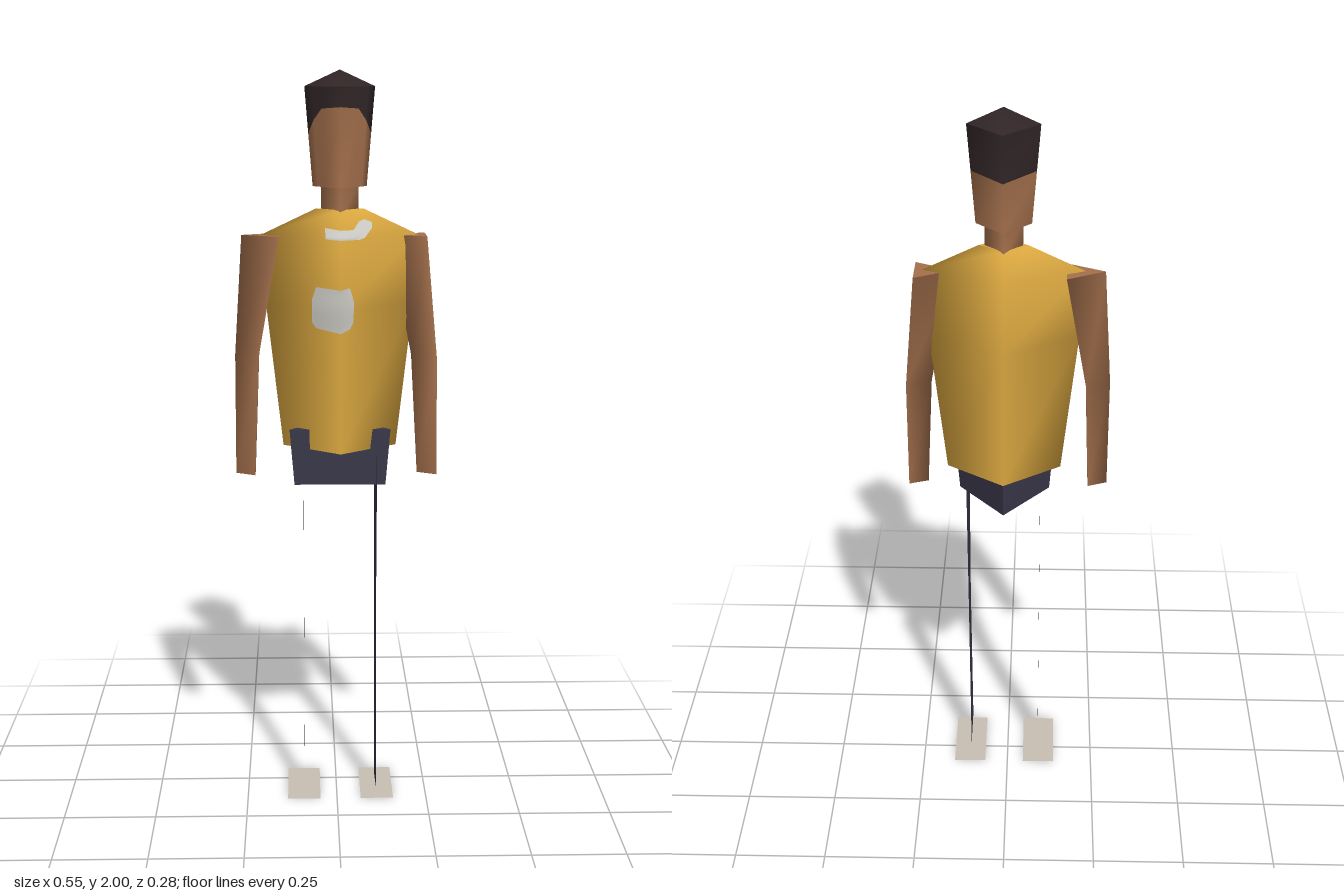
import * as THREE from 'three';

const CX = 0.01, CZ = -0.012; // body axis
const mat = (name, color) => {
  const m = new THREE.MeshStandardMaterial({ color, side: THREE.DoubleSide });
  m.name = name;
  return m;
};
const lerp = THREE.MathUtils.lerp;

function geo(pos, idx) {
  const g = new THREE.BufferGeometry();
  g.setAttribute('position', new THREE.Float32BufferAttribute(pos.flat(), 3));
  g.setIndex(idx);
  g.computeVertexNormals();
  return g;
}

// Smooth walls through rings (bottom to top, counterclockwise from above), with separate end caps
function loft(rings, { bottom = true, top = true, rise = 0 } = {}) {
  const n = rings[0].length, pos = rings.flat(), idx = [];
  for (let r = 0; r < rings.length - 1; r++) {
    for (let i = 0; i < n; i++) {
      const a = r * n + i, b = r * n + (i + 1) % n;
      idx.push(a, b, b + n, a, b + n, a + n);
    }
  }
  const cap = (ring, up) => {
    const s = pos.length;
    const c = [0, 1, 2].map((k) => ring.reduce((t, p) => t + p[k], 0) / n);
    if (up) c[1] += rise;
    pos.push(...ring, c);
    for (let i = 0; i < n; i++) {
      const j = (i + 1) % n;
      idx.push(s + n, s + (up ? i : j), s + (up ? j : i));
    }
  };
  if (bottom) cap(rings[0], false);
  if (top) cap(rings[rings.length - 1], true);
  return geo(pos, idx);
}

// Four-cornered ring: half width, front z, back z
const diamond = (y, hx, zf, zb) => [[CX, y, zf], [CX + hx, y, CZ], [CX, y, zb], [CX - hx, y, CZ]];

const TORSO = [[0.985, 0.155, 0.11, -0.125], [1.38, 0.2, 0.115, -0.14],
  [1.565, 0.213, 0.095, -0.11], [1.635, 0.065, 0.035, -0.055]];

// Depth of the torso front at a given x and y
function chestZ(x, y) {
  let k = 0;
  while (k < TORSO.length - 2 && y > TORSO[k + 1][0]) k++;
  const a = TORSO[k], b = TORSO[k + 1], t = (y - a[0]) / (b[0] - a[0]);
  const hx = lerp(a[1], b[1], t), zf = lerp(a[2], b[2], t);
  return lerp(zf, CZ, Math.abs(x - CX) / hx);
}

// Thin patch hugging the chest, from columns of [x, low y, high y]
function chestPatch(cols) {
  const rows = 6, pos = [], idx = [];
  cols.forEach(([x, lo, hi], c) => {
    for (let r = 0; r <= rows; r++) {
      const y = lerp(lo, hi, r / rows);
      pos.push([x, y, chestZ(x, y) + 0.005]);
      if (c && r) {
        const q = c * (rows + 1) + r, p = q - rows - 1;
        idx.push(p - 1, q - 1, q, p - 1, q, p);
      }
    }
  });
  return geo(pos, idx);
}

// Point on the head: corner-to-corner position u in 0..4, starting at the front
function headPoint(u, y) {
  const t = (y - 1.695) / 0.26;
  const d = diamond(y, lerp(0.0725, 0.0935, t), lerp(0.08, 0.084, t), lerp(-0.09, -0.107, t));
  const i = Math.floor(u) % 4, f = u - Math.floor(u);
  return d[i].map((v, k) => lerp(v, d[(i + 1) % 4][k], f));
}

export function createModel() {
  const root = new THREE.Group();
  const skin = mat('skin', 0xa5714d), hair = mat('hair', 0x322627), shirt = mat('shirt', 0xdba840);
  const trousers = mat('trousers', 0x3a384a), print = mat('print', 0xc8c6c0), shoe = mat('shoe', 0xc9c0b3);
  const add = (name, g, m) => {
    const mesh = new THREE.Mesh(g, m);
    mesh.name = name;
    root.add(mesh);
    return mesh;
  };

  // Head: face below the hairline, hair above it with a low peaked crown
  const hairline = [[0, 1.905], [0.55, 1.9], [0.8, 1.87], [1, 1.835], [2, 1.83],
    [3, 1.835], [3.2, 1.87], [3.45, 1.9]];
  const ringAt = (y) => hairline.map(([u, h]) => headPoint(u, y ?? h));
  add('face', loft([ringAt(1.695), ringAt()], { top: false }), skin);
  const crown = [0, 1, 2, 3].map((u) => headPoint(u, 1.957));
  add('hair', loft([ringAt(), ringAt(1.957)], { bottom: false, top: false }), hair);
  add('crown', loft([crown, crown], { bottom: false, rise: 0.043 }), hair);
  add('neck', loft([diamond(1.62, 0.05, 0.04, -0.06), diamond(1.7, 0.05, 0.04, -0.06)]), skin);

  // Torso with plain printed patches
  add('torso', loft(TORSO.map((r) => diamond(...r))), shirt);
  add('chestPatch', chestPatch([[-0.066, 1.34, 1.4], [-0.055, 1.325, 1.435], [CX, 1.315, 1.43],
    [0.035, 1.325, 1.435], [0.045, 1.345, 1.4]]), print);
  add('collarPatch', chestPatch([[-0.03, 1.562, 1.59], [CX, 1.56, 1.585], [0.045, 1.56, 1.585],
    [0.06, 1.56, 1.605], [0.075, 1.565, 1.61], [0.095, 1.588, 1.602]]), print);

  // Hips: a wedge, broad at the front and pointed at the back
  const wedge = (y, hx, zb) => [[CX - hx, y, 0.045], [CX + hx, y, 0.045], [CX, y, zb]];
  const hips = loft([wedge(0.885, 0.125, -0.112), wedge(1.04, 0.138, -0.125)]).toNonIndexed();
  hips.computeVertexNormals();
  add('hips', hips, trousers);

  // Arms: three-sided, tapering from shoulder through elbow to wrist
  const arm = (name, levels) =>
    add(name, loft(levels.map(([y, ...pts]) => pts.map(([x, z]) => [x, y, z]))), skin);
  arm('leftArm', [
    [0.915, [0.275, 0.055], [0.275, 0.005], [0.222, 0.025]],
    [1.24, [0.272, 0.045], [0.272, -0.035], [0.205, 0]],
    [1.565, [0.243, 0.04], [0.243, -0.068], [0.14, -0.013]],
  ]);
  arm('rightArm', [
    [0.915, [-0.222, 0.055], [-0.222, 0.003], [-0.275, 0.025]],
    [1.24, [-0.21, 0.045], [-0.21, -0.035], [-0.275, 0]],
    [1.565, [-0.153, 0.04], [-0.153, -0.068], [-0.255, -0.013]],
  ]);

  // Legs and feet: flat sheets
  for (const [side, s] of [['left', 1], ['right', -1]]) {
    const x = CX + s * 0.1;
    const outline = [[0.13, 0.024], [0, 0.012], [-0.055, 0.53], [-0.11, 0.957], [0.085, 0.967], [0.065, 0.53]];
    const leg = new THREE.ShapeGeometry(new THREE.Shape(outline.map((p) => new THREE.Vector2(...p))));
    add(side + 'Leg', leg.rotateY(-Math.PI / 2).translate(x, 0, 0), trousers);
    const foot = new THREE.PlaneGeometry(0.091, 0.209).rotateX(-Math.PI / 2);
    add(side + 'Foot', foot.translate(CX + s * 0.102, 0, 0.036), shoe);
  }
  return root;
}
